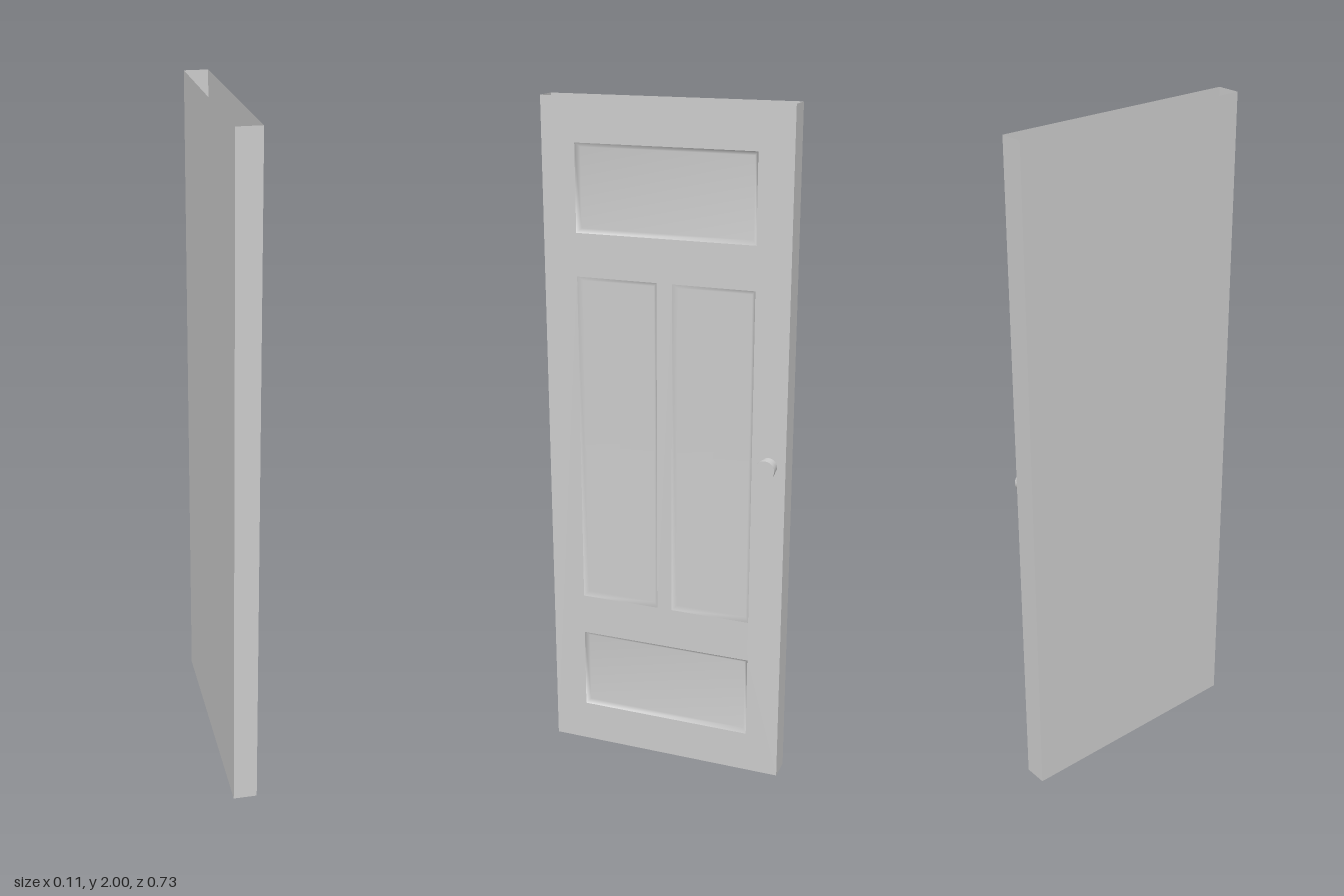
import * as THREE from 'three';

const W = 0.73, H = 2, BACK = -0.055, FACE = 0.015;
const BEVEL = 0.012;

// Panel recesses on the door face: [left, right, bottom, top]
const PANELS = [
  [-0.265, 0.265, 1.625, 1.875],
  [-0.265, -0.023, 0.5, 1.5],
  [0.023, 0.265, 0.5, 1.5],
  [-0.265, 0.265, 0.125, 0.375],
];

const corners = ([l, r, b, t], inset = 0) => [
  [l + inset, b + inset], [r - inset, b + inset],
  [r - inset, t - inset], [l + inset, t - inset],
];

// Bevelled rim and sunken field sharing soft normals
function recessGeometry(panel) {
  const outer = corners(panel).map(([x, y]) => [x, y, FACE]);
  const inner = corners(panel, BEVEL).map(([x, y]) => [x, y, FACE - BEVEL]);
  const index = [4, 5, 6, 4, 6, 7];
  for (let i = 0; i < 4; i++) {
    const j = (i + 1) % 4;
    index.push(i, j, j + 4, i, j + 4, i + 4);
  }
  const g = new THREE.BufferGeometry();
  g.setAttribute('position', new THREE.Float32BufferAttribute([...outer, ...inner].flat(), 3));
  g.setIndex(index);
  g.computeVertexNormals();
  return g;
}

export function createModel() {
  const material = new THREE.MeshStandardMaterial({ color: 0xcccccc, side: THREE.DoubleSide });
  const model = new THREE.Group();
  model.name = 'door';
  const add = (name, geometry) => {
    const mesh = new THREE.Mesh(geometry, material);
    mesh.name = name;
    model.add(mesh);
    return mesh;
  };

  // Front skin with an opening for each panel
  const skin = new THREE.Shape(corners([-W / 2, W / 2, 0, H]).map(p => new THREE.Vector2(...p)));
  for (const p of PANELS) {
    skin.holes.push(new THREE.Path(corners(p).reverse().map(q => new THREE.Vector2(...q))));
  }
  add('frontFace', new THREE.ShapeGeometry(skin).translate(0, 0, FACE));
  PANELS.forEach((p, i) => add('panel' + (i + 1), recessGeometry(p)));

  // Back skin and the two long edges; top and bottom stay open
  add('backFace', new THREE.PlaneGeometry(W, H).rotateY(Math.PI).translate(0, H / 2, BACK));
  for (const s of [-1, 1]) {
    add(s < 0 ? 'hingeEdge' : 'latchEdge', new THREE.PlaneGeometry(FACE - BACK, H)
      .rotateY(s * Math.PI / 2).translate(s * W / 2, H / 2, (FACE + BACK) / 2));
  }

  // Stepped round knob
  const knobPart = (name, r, from, to, open) =>
    add(name, new THREE.CylinderGeometry(r, r, to - from, 32, 1, open).rotateX(Math.PI / 2))
      .position.set(0.315, 1, (from + to) / 2);
  knobPart('knobStem', 0.025, FACE, 0.042, true);
  knobPart('knobCap', 0.0285, 0.042, 0.055, false);

  // The panelled face looks along +x
  model.rotation.y = Math.PI / 2;
  return model;
}
